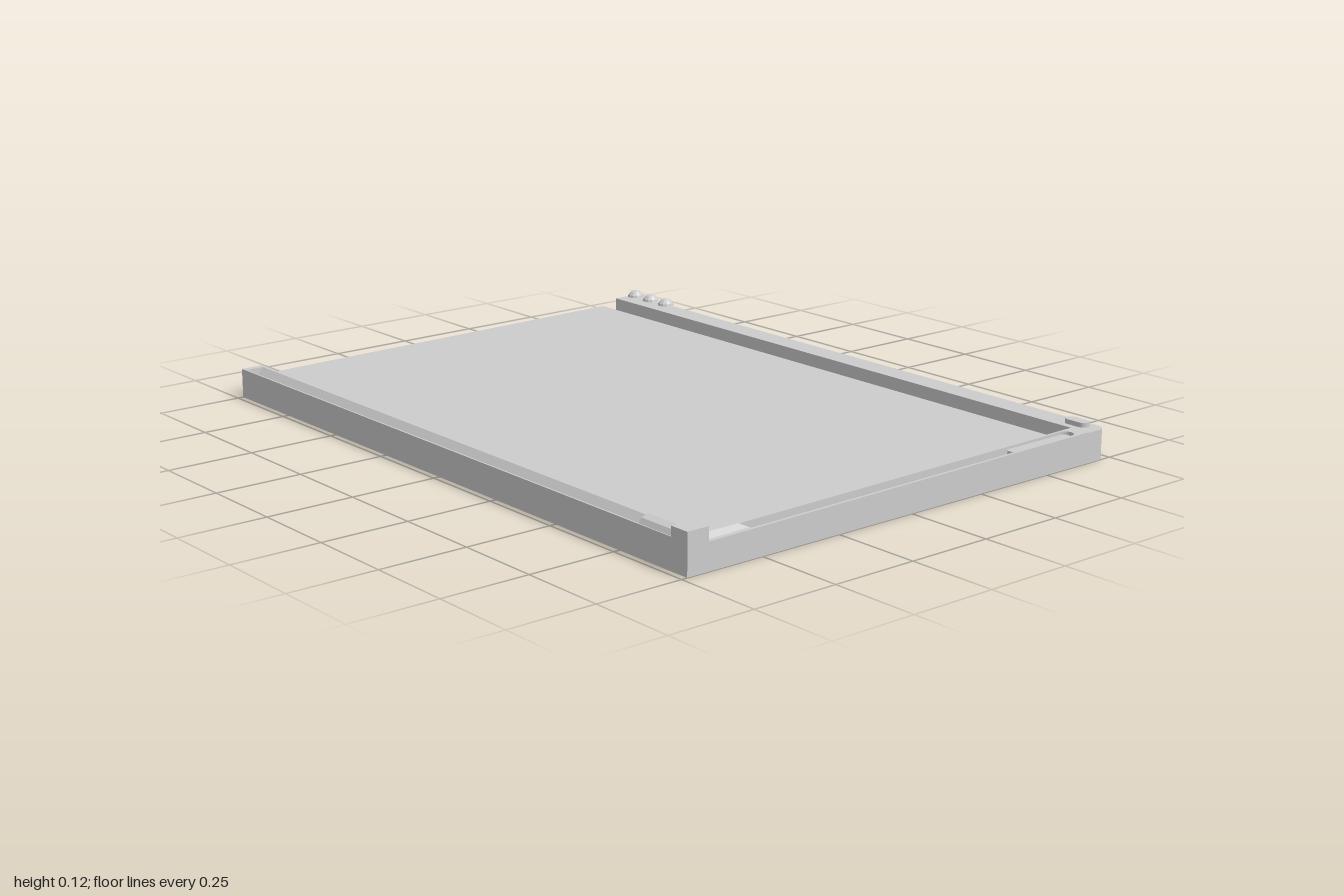
import * as THREE from 'three';
import { ConvexGeometry } from 'three/addons/geometries/ConvexGeometry.js';

const grey = new THREE.MeshStandardMaterial({ color: 0xcccccc });
grey.name = 'plainGrey';

// Profile given as [z, y], extruded from x0 to x1
function alongX(profile, x0, x1) {
  const shape = new THREE.Shape(profile.map(([z, y]) => new THREE.Vector2(-z, y)));
  const g = new THREE.ExtrudeGeometry(shape, { depth: x1 - x0, bevelEnabled: false });
  return g.rotateY(Math.PI / 2).translate(x0, 0, 0);
}

// Plan shape drawn as (x, -z), raised from y0 to y1
function upward(shape, y0, y1) {
  const g = new THREE.ExtrudeGeometry(shape, { depth: y1 - y0, bevelEnabled: false, curveSegments: 8 });
  return g.rotateX(-Math.PI / 2).translate(0, y0, 0);
}

function box(x0, x1, y0, y1, z0, z1) {
  return new THREE.BoxGeometry(x1 - x0, y1 - y0, z1 - z0)
    .translate((x0 + x1) / 2, (y0 + y1) / 2, (z0 + z1) / 2);
}

// Rounded slot outline running from z0 to z1 around x = cx
function slotOutline(cx, r, z0, z1, PathType) {
  const p = new PathType();
  p.absarc(cx, -z0 - r, r, 0, Math.PI, false);
  p.absarc(cx, -z1 + r, r, Math.PI, Math.PI * 2, false);
  p.closePath();
  return p;
}

export function createModel() {
  const model = new THREE.Group();
  model.name = 'windowFrame';
  const add = (name, geometry) => {
    const mesh = new THREE.Mesh(geometry, grey);
    mesh.name = name;
    model.add(mesh);
    return mesh;
  };

  // Main panel, slightly higher at the back, with sloped front and back edges
  add('panel', alongX([
    [0.652, 0], [0.658, 0.035], [0.64, 0.058], [-0.605, 0.068], [-0.654, 0.04], [-0.645, 0],
  ], -1, 0.942));

  // Back bar with rounded rear corners
  const bar = new THREE.Shape();
  const r = 0.03;
  bar.moveTo(-1, 0.66);
  bar.lineTo(1, 0.66);
  bar.lineTo(1, 0.733 - r);
  bar.absarc(1 - r, 0.733 - r, r, 0, Math.PI / 2, false);
  bar.absarc(-1 + r, 0.733 - r, r, Math.PI / 2, Math.PI, false);
  bar.closePath();
  add('backBar', upward(bar, 0, 0.085));

  // Three round buttons and one pill button on the back bar
  for (let i = 0; i < 3; i++) {
    const dome = [[0, 0.096], [0.026, 0.096], [0.024, 0.103], [0.014, 0.113], [0, 0.117]]
      .map(([x, y]) => new THREE.Vector2(x, y));
    const g = new THREE.LatheGeometry(dome, 12).toNonIndexed();
    g.computeVertexNormals();
    add('roundButton', g).position.set(-0.945 + 0.076 * i, 0, -0.698);
  }
  const pill = upward(slotOutline(0, 0.017, -0.037, 0.037, THREE.Shape), 0.085, 0.098);
  add('pillButton', pill.rotateY(Math.PI / 2).translate(0.927, 0, -0.698));

  // Right rail with a slot along its top, falling gently to the front
  const rail = new THREE.Shape([[0.942, 0.66], [0.942, -0.667], [1, -0.667], [1, 0.66]]
    .map(([x, y]) => new THREE.Vector2(x, y)));
  rail.holes.push(slotOutline(0.97, 0.021, -0.625, 0.54, THREE.Path));
  const railTop = upward(rail, 0.055, 0.08);
  const p = railTop.attributes.position;
  for (let i = 0; i < p.count; i++) {
    if (p.getY(i) > 0.07) p.setY(i, 0.0805 - 0.0095 * p.getZ(i));
  }
  railTop.computeVertexNormals();
  add('sideRailTop', railTop);
  add('sideRailBase', box(0.942, 1, 0, 0.0555, -0.66, 0.667));
  add('sideSlider', upward(slotOutline(0.97, 0.016, -0.615, -0.385, THREE.Shape), 0.05, 0.08));

  // Ridged stop between the side slot and the corner block
  const stop = [];
  for (const x of [0.95, 0.99]) {
    for (const z of [0.522, 0.667]) stop.push(new THREE.Vector3(x, 0.072, z));
  }
  for (const z of [0.552, 0.667]) stop.push(new THREE.Vector3(0.97, 0.086, z));
  add('sideRailStop', new ConvexGeometry(stop));

  // Front rail with a V-shaped groove along its top
  const grooved = [
    [0.667, 0], [0.733, 0], [0.733, 0.085], [0.728, 0.085],
    [0.698, 0.06], [0.675, 0.085], [0.667, 0.085],
  ];
  const plain = [[0.667, 0], [0.733, 0], [0.733, 0.085], [0.667, 0.085]];
  add('frontRail', alongX(grooved, -0.98, 0.82));
  add('frontRailEnd', alongX(plain, -1, -0.98));
  add('frontRailEnd', alongX(plain, 0.82, 0.942));

  // Ridged stop beside the corner, and the corner block
  add('frontRailStop', alongX([
    [0.67, 0.085], [0.73, 0.085], [0.722, 0.098], [0.702, 0.105], [0.68, 0.098],
  ], 0.82, 0.942));
  add('cornerBlock', box(0.942, 1, 0, 0.112, 0.667, 0.733));

  return model;
}
